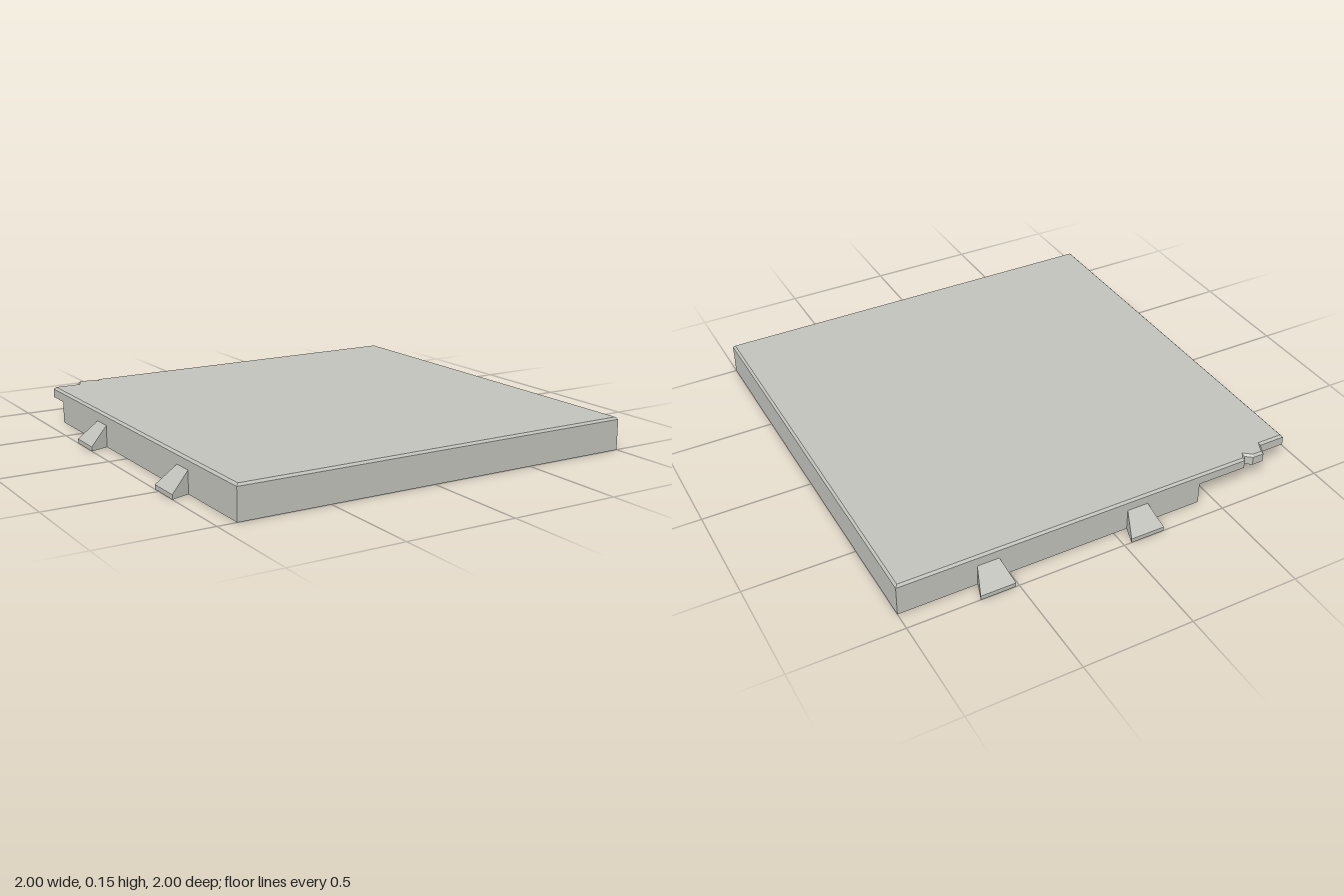
import * as THREE from 'three';

const MIN = -0.915, MAX = 1, WALL = 0.045, ROOF = 0.1, TOP = 0.15, BEVEL = 0.01;

// Plan outline of the roof, as [x, z], with the chipped back corner
const roofOutline = [
  [MIN, -0.86], [-0.79, -0.86], [-0.765, MIN], [-0.71, MIN], [-0.68, -0.89],
  [-0.665, MIN], [MAX, MIN], [MAX, MAX], [MIN, MAX],
];

// Rim that runs round the tile and stops short of the chipped corner
const IN = MIN + WALL, OUT = MAX - WALL, BACK_END = -0.43, SIDE_END = -0.74;
const rimOutline = [
  [BACK_END, MIN], [MAX, MIN], [MAX, MAX], [MIN, MAX], [MIN, SIDE_END],
  [IN, SIDE_END], [IN, OUT], [OUT, OUT], [OUT, IN], [BACK_END, IN],
];

// Extrude a plan outline upward from y0 to y1
function slab(points, y0, y1, bevel = 0) {
  const shape = new THREE.Shape(points.map(([x, z]) => new THREE.Vector2(x, z)));
  const geo = new THREE.ExtrudeGeometry(shape, {
    depth: y1 - y0 - 2 * bevel,
    bevelEnabled: bevel > 0,
    bevelThickness: bevel,
    bevelSize: bevel,
    bevelOffset: -bevel,
    bevelSegments: 1,
  });
  geo.rotateX(Math.PI / 2);
  geo.translate(0, y1 - bevel, 0);
  return geo;
}

// Dovetail clip: a sloped wedge that widens as it leaves the wall (towards -z)
function clipGeometry() {
  const reach = 0.085, tipHeight = 0.02;
  const geo = new THREE.BoxGeometry(1, 1, 1).toNonIndexed();
  const p = geo.attributes.position;
  for (let i = 0; i < p.count; i++) {
    const tip = p.getZ(i) < 0;
    const width = tip ? 0.16 : 0.1;
    const height = tip ? tipHeight : ROOF;
    p.setXYZ(i, p.getX(i) * width, p.getY(i) > 0 ? height : 0, tip ? -reach : 0);
  }
  geo.computeVertexNormals();
  return geo;
}

export function createModel() {
  const model = new THREE.Group();
  model.name = 'floorTile';
  const stone = new THREE.MeshStandardMaterial({ color: 0xc2c2bc });
  stone.name = 'stoneGrey';

  const add = (name, geo, x = 0, y = 0, z = 0) => {
    const mesh = new THREE.Mesh(geo, stone);
    mesh.name = name;
    mesh.position.set(x, y, z);
    model.add(mesh);
    return mesh;
  };

  // Roof plate with a chamfered top edge
  add('roofPlate', slab(roofOutline, ROOF, TOP - BEVEL));
  add('roofChamfer', slab(roofOutline, TOP - 2.1 * BEVEL, TOP, BEVEL));

  // Rim walls
  add('rim', slab(rimOutline, 0, ROOF));

  // Clips on the back and side walls
  const clip = clipGeometry();
  for (const x of [-0.115, 0.595]) add('backClip', clip, x, 0, MIN);
  for (const z of [-0.27, 0.545]) add('sideClip', clip, MIN, 0, z).rotation.y = Math.PI / 2;

  // Small pin under the roof
  add('pinBar', new THREE.BoxGeometry(0.02, 0.02, 0.09), -0.74, ROOF - 0.01, 0.8);
  add('pinKnob', new THREE.CylinderGeometry(0.02, 0.02, 0.02, 12), -0.74, ROOF - 0.01, 0.73);

  return model;
}
